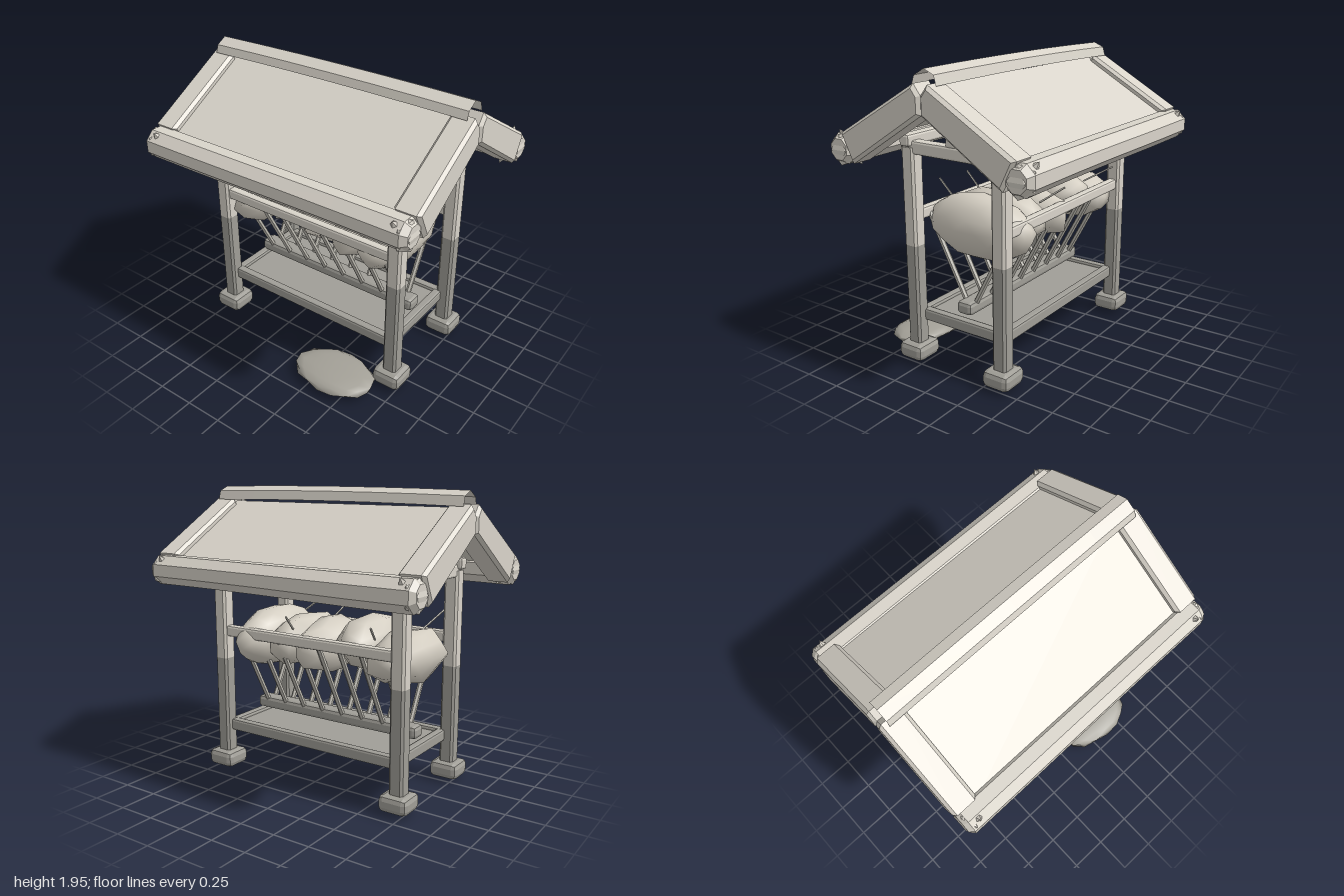
import * as THREE from 'three';
import { mergeVertices } from 'three/addons/utils/BufferGeometryUtils.js';
import { RoundedBoxGeometry } from 'three/addons/geometries/RoundedBoxGeometry.js';

export function createModel() {
  const mat = (name, color) => {
    const m = new THREE.MeshStandardMaterial({ color });
    m.name = name;
    return m;
  };
  const pale = mat('paleWood', 0xd9d4ca);
  const dark = mat('weatheredWood', 0xa09e97);
  const slatWood = mat('slatWood', 0xbfbcb3);
  const hay = mat('hay', 0xd4cec2);
  const oldHay = mat('fallenHay', 0xa3a097);
  const ridgeWood = mat('ridgeWood', 0xd8d3c9);
  ridgeWood.side = THREE.DoubleSide;

  const model = new THREE.Group();
  model.name = 'hayFeeder';
  const body = new THREE.Group();
  body.name = 'feederBody';
  body.position.set(-0.01, 0, -0.015);
  model.add(body);

  const add = (name, geo, material, x = 0, y = 0, z = 0) => {
    const m = new THREE.Mesh(geo, material);
    m.name = name;
    m.position.set(x, y, z);
    body.add(m);
    return m;
  };
  const flat = (geo) => {
    const g = geo.index ? geo.toNonIndexed() : geo;
    g.computeVertexNormals();
    return g;
  };
  // Beam with chamfered edges
  const beam = (name, w, h, d, material, x, y, z, c = 0.015) =>
    add(name, flat(new RoundedBoxGeometry(w, h, d, 1, c)), material, x, y, z);
  // Thin rod between two points
  const rod = (name, a, b, r, sides, material) => {
    const p = new THREE.Vector3(...a), q = new THREE.Vector3(...b);
    const m = add(name, flat(new THREE.CylinderGeometry(r, r, p.distanceTo(q), sides)), material);
    m.position.copy(p).lerp(q, 0.5);
    m.quaternion.setFromUnitVectors(new THREE.Vector3(0, 1, 0), q.sub(p).normalize());
  };

  const LX = 0.692, LZ = 0.337;
  const sides = [1, -1];

  // Legs, feet and leg caps
  for (const sx of sides) for (const sz of sides) {
    const x = sx * LX, z = sz * LZ;
    const leg = (name, y0, y1, material) => {
      const h = 0.049, c = 0.015;
      const s = new THREE.Shape([[h, h - c], [h - c, h], [c - h, h], [-h, h - c], [-h, c - h], [c - h, -h], [h - c, -h], [h, c - h]]
        .map(([a, b]) => new THREE.Vector2(a, b)));
      const g = new THREE.ExtrudeGeometry(s, { depth: y1 - y0, bevelEnabled: false });
      g.rotateX(-Math.PI / 2);
      add(name, g, material, x, y0, z);
    };
    leg('lowerLeg', 0.1, 0.8, dark);
    leg('upperLeg', 0.8, 1.43, pale);
    beam('foot', 0.2, 0.11, 0.19, dark, x, 0.083, z, 0.035);
  }

  // Frame under the roof
  for (const s of sides) {
    beam('wallPlate', 2 * LX + 0.14, 0.075, 0.075, pale, 0, 1.475, s * LZ);
    beam('crossBeam', 0.08, 0.085, 0.79, pale, s * LX, 1.43, 0);
    beam('kingPost', 0.08, 0.32, 0.085, pale, s * LX, 1.62, 0);
    beam('rackRail', 2 * LX - 0.08, 0.075, 0.06, pale, 0, 0.99, s * LZ);
    beam('trayRail', 2 * LX - 0.08, 0.08, 0.06, dark, 0, 0.32, s * 0.315);
    beam('trayEnd', 0.06, 0.08, 0.6, dark, s * 0.65, 0.32, 0);
  }
  add('trayBoard', new THREE.BoxGeometry(1.31, 0.055, 0.62), dark, 0, 0.309, 0);

  // V-shaped hay rack
  beam('rackKeel', 1.29, 0.085, 0.115, dark, 0, 0.42, 0, 0.025);
  for (let i = 0; i < 8; i++) for (const s of sides) {
    const x = -0.557 + i * 0.16;
    rod('slat', [x, 0.43, s * 0.03], [x, 0.98, s * 0.32], 0.018, 6, slatWood);
  }

  // Roof slopes: rafters, panel
  const slope = (s, name, pts, x0, x1, bevel, material) => {
    const shape = new THREE.Shape(pts.map(([z, y]) => new THREE.Vector2(s * z, y)));
    const g = new THREE.ExtrudeGeometry(shape, {
      depth: x1 - x0 - 2 * bevel, bevelEnabled: bevel > 0, bevelSegments: 1,
      bevelSize: bevel, bevelThickness: bevel, bevelOffset: -bevel,
    });
    g.rotateY(-Math.PI / 2);
    add(name, flat(g), material, x1 - bevel, 0, 0);
  };
  const rafter = [[0.05, 1.865], [0.635, 1.525], [0.545, 1.345], [0, 1.69], [0, 1.8]];
  const panel = [[0, 1.845], [0.64, 1.472], [0.62, 1.44], [0, 1.8]];
  for (const s of sides) {
    for (const e of sides) slope(s, 'rafter', rafter, e * 0.905 - 0.085, e * 0.905 + 0.085, 0.02, pale);
    slope(s, 'roofPanel', panel, -0.85, 0.85, 0, pale);
  }

  // Uneven eave logs with faceted ends
  const wobble = (a, b) => Math.sin(a * 12.9 + b * 78.2) * 0.5 + Math.sin(a * 5.3 - b * 3.1) * 0.5;
  const eaveLog = (s, z) => {
    const xs = [-0.98, -0.95, -0.6, -0.25, 0.1, 0.5, 0.94, 0.98];
    const g = new THREE.CylinderGeometry(1, 1, 1, 8, xs.length - 1);
    const p = g.attributes.position;
    for (let i = 0; i < p.count; i++) {
      const row = Math.round((p.getY(i) + 0.5) * (xs.length - 1));
      const end = row === 0 || row === xs.length - 1;
      const rad = Math.hypot(p.getX(i), p.getZ(i));
      const a = Math.atan2(p.getX(i), p.getZ(i)) + Math.PI / 8;
      const r = rad < 0.5 ? 0 : (end ? 0.07 : 0.103 + 0.004 * wobble(row, s));
      p.setXYZ(i, xs[row], r * Math.sin(a) + 0.004 * wobble(row, 2), r * Math.cos(a));
    }
    // Cylinder axis moved onto x: reverse the winding
    const idx = g.index.array;
    const signed = () => {
      let v = 0;
      const A = new THREE.Vector3(), B = A.clone(), C = A.clone();
      for (let i = 0; i < idx.length; i += 3) {
        A.fromBufferAttribute(p, idx[i]); B.fromBufferAttribute(p, idx[i + 1]); C.fromBufferAttribute(p, idx[i + 2]);
        v += A.dot(B.cross(C));
      }
      return v;
    };
    if (signed() < 0) for (let i = 0; i < idx.length; i += 3) [idx[i], idx[i + 1]] = [idx[i + 1], idx[i]];
    add('eaveLog', flat(g), pale, 0, 1.418, z);
    // Pegs and splinters at the log ends
    for (const e of sides) {
      for (const [dy, dz] of [[0.075, 0.06], [-0.07, -0.075]]) {
        const peg = add('peg', flat(new THREE.ConeGeometry(0.042, 0.07, 5)), pale, e * 0.89, 1.418 + dy, z + s * dz);
        peg.quaternion.setFromUnitVectors(new THREE.Vector3(0, 1, 0), new THREE.Vector3(0, dy, s * dz).normalize());
      }
      const knot = add('logEnd', flat(new THREE.IcosahedronGeometry(0.11, 0)), pale, e * 0.93, 1.415, z);
      knot.scale.set(0.6, 1.04, 0.95);
    }
  };
  eaveLog(1, 0.66);
  eaveLog(-1, -0.635);

  // Bent ridge cap
  const profile = [[0.088, 1.865], [0.07, 1.915], [0, 1.955], [-0.07, 1.925], [-0.088, 1.865]];
  const cap = new THREE.PlaneGeometry(1.88, 1, 6, profile.length - 1);
  const cp = cap.attributes.position;
  for (let i = 0; i < cp.count; i++) {
    const [z, y] = profile[Math.round((0.5 - cp.getY(i)) * (profile.length - 1))];
    cp.setXYZ(i, cp.getX(i), y - 0.012 * cp.getX(i) ** 2, z);
  }
  for (let i = 0, a = cap.index.array; i < a.length; i += 3) [a[i], a[i + 1]] = [a[i + 1], a[i]];
  add('ridgeCap', flat(cap), ridgeWood);

  // Lumpy hay bundles
  const bundle = (name, c, r, seed, material, detail = 1, amp = 0.1) => {
    let g = new THREE.IcosahedronGeometry(1, detail);
    g.deleteAttribute('normal');
    g.deleteAttribute('uv');
    g = mergeVertices(g, 1e-3);
    const p = g.attributes.position;
    for (let i = 0; i < p.count; i++) {
      const k = 1 + amp * Math.sin(i * 4.7 + seed * 2.3);
      p.setXYZ(i, p.getX(i) * r[0] * k, p.getY(i) * r[1] * k, p.getZ(i) * r[2] * k);
    }
    g.computeVertexNormals();
    add(name, g, material, ...c);
  };
  bundle('hayBundle', [-0.555, 0.91, 0], [0.19, 0.175, 0.37], 1, hay);
  bundle('hayBundle', [-0.29, 0.98, 0], [0.175, 0.165, 0.34], 2, hay);
  bundle('hayBundle', [0.02, 0.925, -0.02], [0.165, 0.185, 0.35], 3, hay);
  bundle('hayBundle', [0.25, 0.925, 0], [0.15, 0.18, 0.34], 4, hay);
  bundle('hayBundle', [0.48, 0.93, -0.02], [0.175, 0.205, 0.39], 5, hay, 2, 0.03);
  bundle('fallenHay', [0.37, 0.056, 0.53], [0.29, 0.05, 0.19], 6, oldHay, 2, 0.06);

  // Loose straws
  for (const [x, z, dx, dz] of [[-0.6, 0.4, 0.06, -0.2], [-0.52, -0.4, 0.08, 0.18], [0.11, -0.4, 0.06, 0.15], [0.38, 0.39, 0.07, -0.2], [0.13, 0.36, 0.04, -0.15]])
    rod('straw', [x, 1.15, z], [x + dx, 1.04, z + dz], 0.007, 4, slatWood);

  return model;
}
